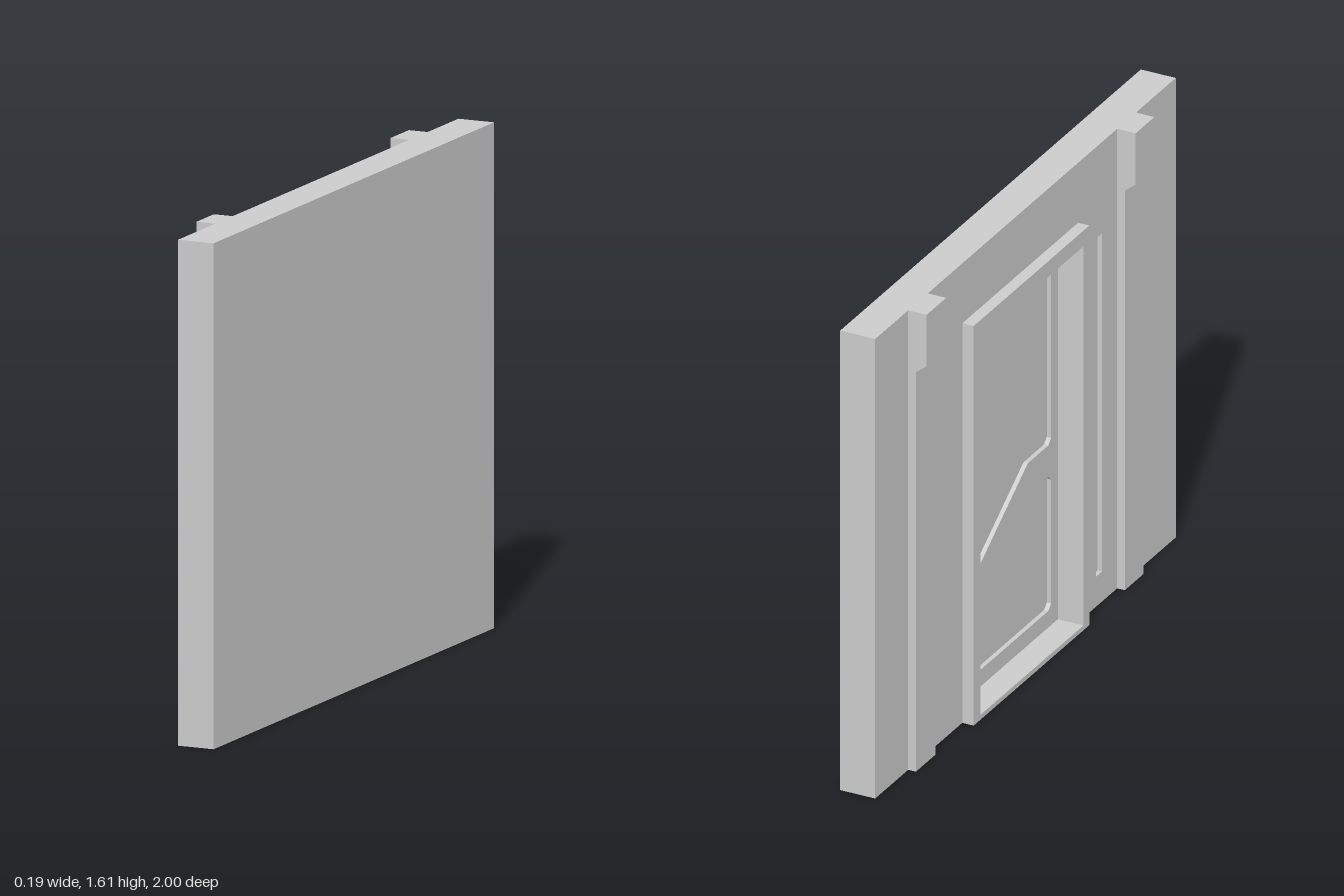
import * as THREE from 'three';

const material = new THREE.MeshStandardMaterial({ color: 0xcccccc, flatShading: true });

const rect = (z0, z1, y0, y1) => [[z0, y0], [z1, y0], [z1, y1], [z0, y1]];
const points = (list) => list.map(([z, y]) => new THREE.Vector2(z, y));

// Plate drawn in (z, y), reaching from xInner out to xOuter on the -x side
function plate(name, outline, holes, xInner, xOuter) {
  const shape = new THREE.Shape(points(outline));
  holes.forEach((hole) => shape.holes.push(new THREE.Path(points(hole))));
  const geometry = new THREE.ExtrudeGeometry(shape, { depth: xInner - xOuter, bevelEnabled: false });
  geometry.rotateY(-Math.PI / 2).translate(xInner, 0, 0);
  const mesh = new THREE.Mesh(geometry, material);
  mesh.name = name;
  return mesh;
}

// Bracket-topped pilaster: a side profile in (x, y) swept across its width
function pilaster(name, z0, z1) {
  const profile = [
    [-0.03, 0], [-0.03, 1.61], [-0.095, 1.61], [-0.095, 1.43],
    [-0.057, 1.4], [-0.057, 0],
  ];
  const geometry = new THREE.ExtrudeGeometry(new THREE.Shape(points(profile)), {
    depth: z1 - z0, bevelEnabled: false,
  });
  geometry.translate(0, 0, z0);
  const mesh = new THREE.Mesh(geometry, material);
  mesh.name = name;
  return mesh;
}

export function createModel() {
  const group = new THREE.Group();
  group.name = 'wallWithDoor';

  const wallX = -0.03, doorX = 0.02, floorX = 0.035;
  const opening = rect(-0.375, 0.31, 0.017, 1.345);
  const slot = rect(0.47, 0.51, 0.105, 1.29);

  // Wall: solid back and a front layer pierced by the doorway and the slot
  group.add(plate('wallBack', rect(-1, 1, 0, 1.61), [], 0.093, floorX));
  group.add(plate('wallFront', rect(-1, 1, 0, 1.61), [opening, slot], floorX, wallX));
  group.add(plate('slotFloor', slot, [], floorX, -0.014));

  // Door leaf with two sunken panels split by a stepped diagonal rail
  const left = -0.33, right = 0.265, c = 0.018;
  const upperPanel = [
    [left, 0.365], [0.11, 0.655], [right - c, 0.655], [right, 0.655 + c],
    [right, 1.295 - c], [right - c, 1.295], [left + c, 1.295], [left, 1.295 - c],
  ];
  const lowerPanel = [
    [left + c, 0.075], [right - c, 0.075], [right, 0.075 + c],
    [right, 0.545 - c], [right - c, 0.545], [0.12, 0.545], [left, 0.25], [left, 0.075 + c],
  ];
  group.add(plate('doorLeaf', opening, [upperPanel, lowerPanel], floorX, doorX));

  // Raised surround around the doorway
  group.add(plate('doorFrame', rect(-0.42, 0.35, 0, 1.4), [opening], wallX, -0.07));

  group.add(pilaster('pilasterBack', -0.78, -0.65));
  group.add(pilaster('pilasterFront', 0.61, 0.735));
  return group;
}
